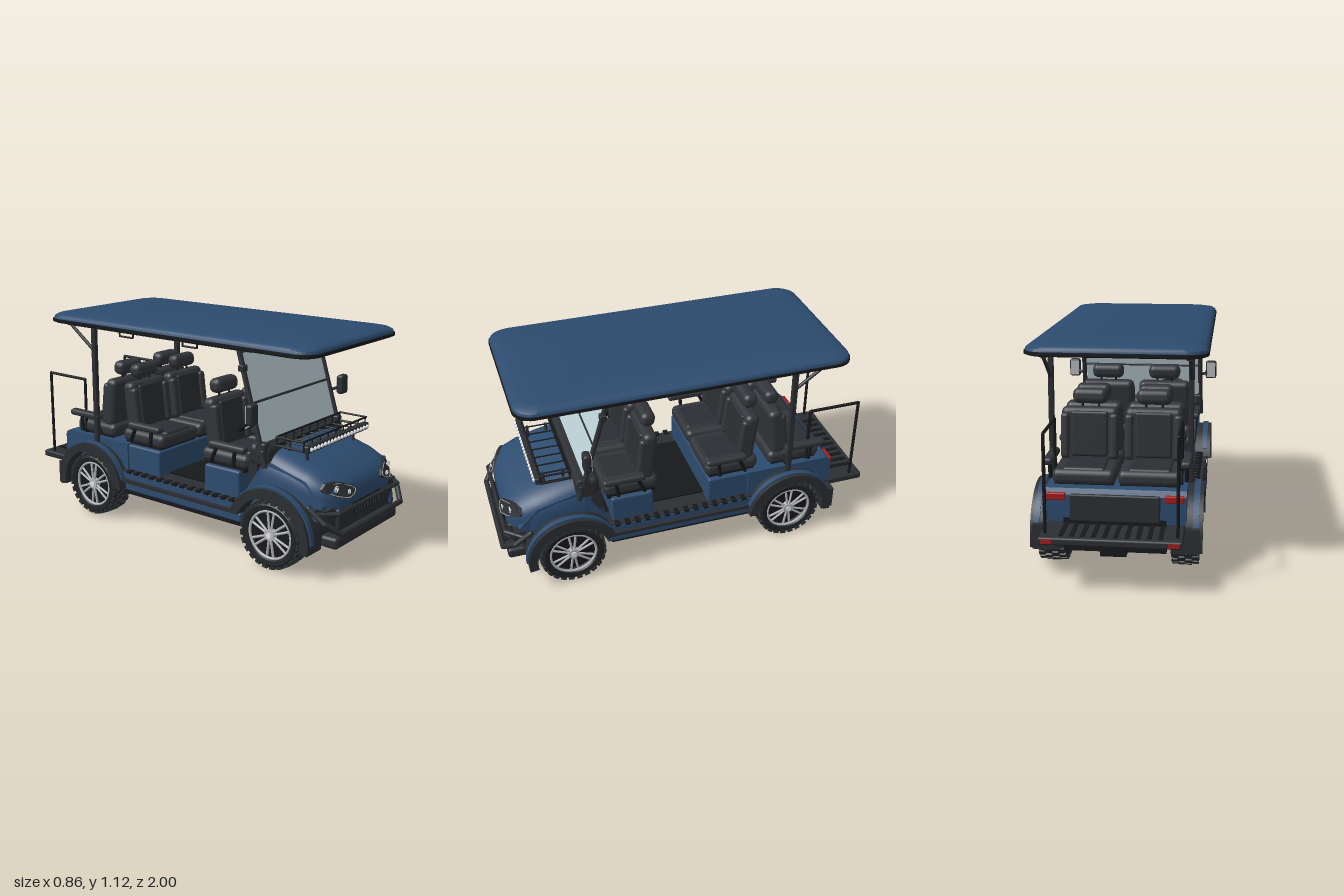
import * as THREE from 'three';
import { toCreasedNormals } from 'three/addons/utils/BufferGeometryUtils.js';
import { RoundedBoxGeometry } from 'three/addons/geometries/RoundedBoxGeometry.js';

const mat = (color, side = THREE.FrontSide) => new THREE.MeshStandardMaterial({ color, side });
const blue = mat(0x2c4b6e), dark = mat(0x2b2e32), black = mat(0x17181a), seatMat = mat(0x313439);
const silver = mat(0xb4b6b8), red = mat(0xa01c1c), glass = mat(0xc0d4da, THREE.DoubleSide), white = mat(0xe4e8ea);
const V = (x, y, z) => new THREE.Vector3(x, y, z);

function add(parent, name, geo, m, x = 0, y = 0, z = 0) {
  const mesh = new THREE.Mesh(geo, m);
  mesh.name = name;
  mesh.position.set(x, y, z);
  parent.add(mesh);
  return mesh;
}
// Box given by its ranges on each axis; r > 0 rounds it
function box(parent, name, m, [x0, x1], [y0, y1], [z0, z1], r = 0) {
  const s = [x1 - x0, y1 - y0, z1 - z0];
  const geo = r ? new RoundedBoxGeometry(...s, 3, r) : new THREE.BoxGeometry(...s);
  return add(parent, name, geo, m, (x0 + x1) / 2, (y0 + y1) / 2, (z0 + z1) / 2);
}
// Straight rod between two points
function rod(parent, name, m, a, b, r, sides = 10) {
  const d = b.clone().sub(a), mid = a.clone().add(b).multiplyScalar(0.5);
  const mesh = add(parent, name, new THREE.CylinderGeometry(r, r, d.length(), sides), m, mid.x, mid.y, mid.z);
  mesh.quaternion.setFromUnitVectors(V(0, 1, 0), d.normalize());
  return mesh;
}
// Chain of rods with round joints
function rail(parent, name, m, pts, r) {
  const g = new THREE.Group();
  g.name = name;
  parent.add(g);
  pts.forEach((p, i) => {
    add(g, name + 'Joint', new THREE.SphereGeometry(r, 10, 8), m, p.x, p.y, p.z);
    if (i) rod(g, name + 'Rod', m, pts[i - 1], p, r);
  });
}
// Side profile drawn in (z, y), extruded along x about the given centre
function sideProfile(parent, name, shape, width, m, x = 0) {
  const geo = new THREE.ExtrudeGeometry(shape, { depth: width, bevelEnabled: false, curveSegments: 28 });
  geo.translate(0, 0, -width / 2).rotateY(-Math.PI / 2);
  return add(parent, name, toCreasedNormals(geo, 0.6), m, x);
}
// Skin over closed rings of equal length, capped at both ends
function loft(rings) {
  const n = rings[0].length, pos = rings.flat(), idx = [];
  for (let j = 0; j < rings.length - 1; j++) for (let i = 0; i < n; i++) {
    const a = j * n + i, b = j * n + (i + 1) % n;
    idx.push(a, b, b + n, a, b + n, a + n);
  }
  for (const [j, flip] of [[0, true], [rings.length - 1, false]]) {
    const c = pos.length, ring = rings[j];
    pos.push(ring.reduce((s, p) => s.add(p), V(0, 0, 0)).divideScalar(n));
    for (let i = 0; i < n; i++) {
      const a = j * n + i, b = j * n + (i + 1) % n;
      idx.push(...(flip ? [b, a, c] : [a, b, c]));
    }
  }
  const geo = new THREE.BufferGeometry().setFromPoints(pos);
  geo.setIndex(idx);
  geo.computeVertexNormals();
  return toCreasedNormals(geo, 0.7);
}
const roundRing = (hx, hz, r, y, zc) => Array.from({ length: 32 }, (_, i) => {
  const k = Math.floor(i / 8), a = (k + (i % 8) / 7) * Math.PI / 2;
  const sx = k === 0 || k === 3 ? 1 : -1, sz = k < 2 ? -1 : 1;
  return V(sx * (hx - r) + r * Math.cos(a), y, zc + sz * (hz - r) - r * Math.sin(a));
});

// Wheel with its axle along x, outer face towards +x
function wheel() {
  const g = new THREE.Group();
  g.name = 'wheel';
  const prof = [[0.118, -0.055], [0.15, -0.063], [0.163, -0.055], [0.166, 0], [0.163, 0.055], [0.15, 0.063], [0.128, 0.06], [0.118, 0.045], [0.118, -0.055]];
  const tyre = new THREE.LatheGeometry(prof.map(p => new THREE.Vector2(...p)), 40);
  add(g, 'tyre', toCreasedNormals(tyre.rotateZ(-Math.PI / 2), 0.6), mat(0x202224, THREE.DoubleSide));
  for (let i = 0; i < 24; i++) for (let k = 0; k < 4; k++) {
    const a = (i + (k % 2) * 0.5) / 24 * Math.PI * 2, r = k % 3 ? 0.167 : 0.163;
    const lug = add(g, 'treadLug', new THREE.BoxGeometry(0.029, 0.014, 0.028), dark, (k - 1.5) * 0.033, r * Math.cos(a), r * Math.sin(a));
    lug.rotation.x = a;
  }
  const disc = (name, r, w, m, x) => add(g, name, new THREE.CylinderGeometry(r, r, w, 32).rotateZ(Math.PI / 2), m, x);
  disc('wheelBack', 0.12, 0.07, black, -0.005);
  disc('hub', 0.028, 0.03, silver, 0.045);
  disc('hubCap', 0.014, 0.01, white, 0.06);
  add(g, 'rim', new THREE.TorusGeometry(0.119, 0.007, 8, 40).rotateY(Math.PI / 2), silver, 0.05);
  for (let i = 0; i < 6; i++) for (const s of [-1, 1]) {
    const a = i / 6 * Math.PI * 2, b = a + s * 0.16, c = a + s * 0.25;
    rod(g, 'spoke', silver, V(0.05, 0.02 * Math.cos(c), 0.02 * Math.sin(c)), V(0.046, 0.118 * Math.cos(b), 0.118 * Math.sin(b)), 0.0065, 6);
  }
  return g;
}
// Seat facing +z with its backrest at z = 0; arm is the side of its armrest
function seat(arm) {
  const g = new THREE.Group();
  g.name = 'seat';
  box(g, 'seatBase', black, [-0.14, 0.14], [0.42, 0.45], [0, 0.25]);
  box(g, 'seatCushion', seatMat, [-0.15, 0.15], [0.435, 0.51], [-0.02, 0.27], 0.03);
  box(g, 'cushionPad', dark, [-0.1, 0.1], [0.48, 0.518], [0.05, 0.255], 0.015);
  const back = new THREE.Group();
  back.name = 'backrest';
  back.position.set(0, 0.49, 0.045);
  back.rotation.x = -0.12;
  g.add(back);
  box(back, 'backCushion', seatMat, [-0.14, 0.14], [0, 0.27], [-0.04, 0.035], 0.03);
  box(back, 'backPad', dark, [-0.09, 0.09], [0.03, 0.25], [0.01, 0.045], 0.012);
  for (const s of [-1, 1]) {
    box(back, 'bolster', seatMat, [s * 0.118 - 0.022, s * 0.118 + 0.022], [0.02, 0.24], [-0.02, 0.052], 0.018);
    rod(back, 'headrestStalk', black, V(s * 0.04, 0.25, 0), V(s * 0.04, 0.31, 0), 0.006);
  }
  box(back, 'headrest', seatMat, [-0.085, 0.085], [0.285, 0.36], [-0.035, 0.04], 0.03);
  const x = arm * 0.168;
  box(g, 'armrest', seatMat, [x - 0.024, x + 0.024], [0.53, 0.565], [0.06, 0.28], 0.015);
  rod(g, 'armrestPost', black, V(x, 0.45, 0.2), V(x, 0.54, 0.21), 0.01);
  rod(g, 'armrestBrace', black, V(x, 0.45, 0.06), V(x, 0.54, 0.1), 0.01);
  return g;
}

export function createModel() {
  const g = new THREE.Group();
  g.name = 'passengerCart';
  const FZ = 0.645, RZ = -0.545, AY = 0.175;

  // Chassis, floor and side steps
  box(g, 'underTray', black, [-0.24, 0.24], [0.14, 0.3], [-0.8, 0.88]);
  box(g, 'floorPan', black, [-0.33, 0.33], [0.155, 0.2], [-0.34, 0.43]);
  box(g, 'floor', dark, [-0.35, 0.35], [0.24, 0.292], [-0.34, 0.47]);
  for (const s of [-1, 1]) {
    const xr = (a, b) => s > 0 ? [a, b] : [-b, -a];
    box(g, 'rockerPanel', blue, xr(0.31, 0.36), [0.185, 0.235], [-0.36, 0.46], 0.012);
    box(g, 'sillPanel', blue, xr(0.32, 0.356), [0.247, 0.285], [-0.33, 0.44]);
    box(g, 'sideStep', dark, xr(0.3, 0.375), [0.232, 0.25], [-0.35, 0.45]);
    for (let i = 0; i < 14; i++) box(g, 'stepGrip', black, xr(0.325, 0.365), [0.285, 0.296], [-0.3 + i * 0.053, -0.275 + i * 0.053]);
    // Wheels, fenders and mud flaps
    for (const [z, a0, a1] of [[FZ, -0.17, 2.75], [RZ, 0.1, 3.3]]) {
      const w = wheel();
      w.position.set(s * 0.32, AY, z);
      w.rotation.y = s > 0 ? 0 : Math.PI;
      g.add(w);
      const arch = (r0, r1, b0, b1) => {
        const sh = new THREE.Shape();
        sh.absarc(z, AY, r1, b0, b1, false);
        sh.absarc(z, AY, r0, b1, b0, true);
        return sh;
      };
      sideProfile(g, 'fender', arch(0.188, 0.235, a0, a1), 0.12, dark, s * 0.345);
      sideProfile(g, 'fenderStrip', arch(0.225, 0.243, a0 + 0.2, a1 - 0.2), 0.028, blue, s * 0.373);
      rod(g, 'axle', black, V(0, AY, z), V(s * 0.3, AY, z), 0.025);
    }
    box(g, 'rearMudFlap', dark, xr(0.26, 0.39), [0.14, 0.26], [-0.8, -0.765]);
  }

  // Front cowl sides and rear body, both cut out around the wheels
  const poly = (pts, z) => {
    const sh = new THREE.Shape(pts.map(p => new THREE.Vector2(...p)));
    sh.absarc(z, AY, 0.2, 0.56, Math.PI - 0.56, false);
    return sh;
  };
  sideProfile(g, 'cowlSides', poly([[0.44, 0.281], [0.45, 0.33], [0.57, 0.52], [0.8, 0.46], [0.9, 0.36], [0.88, 0.281]].reverse(), FZ), 0.64, blue);
  sideProfile(g, 'rearBody', poly([[-0.32, 0.281], [-0.32, 0.435], [-0.77, 0.435], [-0.795, 0.41], [-0.795, 0.281]], RZ), 0.66, blue);
  const hood = [[0.56, 0.335, 0.34, 0.58], [0.62, 0.335, 0.34, 0.57], [0.7, 0.335, 0.34, 0.55], [0.8, 0.33, 0.335, 0.52], [0.87, 0.315, 0.33, 0.49], [0.92, 0.27, 0.33, 0.455], [0.945, 0.2, 0.335, 0.425], [0.952, 0.1, 0.35, 0.4]];
  add(g, 'hood', loft(hood.map(([z, w, b, t]) => Array.from({ length: 33 }, (_, i) => {
    const a = i / 32 * Math.PI, c = Math.cos(a);
    return V(w * Math.sign(c) * Math.abs(c) ** 0.45, b + (t - b) * Math.max(0, Math.sin(a)) ** 0.5, z);
  }))), blue);
  box(g, 'dashboard', dark, [-0.335, 0.335], [0.49, 0.595], [0.48, 0.6], 0.03);
  box(g, 'firewall', dark, [-0.31, 0.31], [0.28, 0.52], [0.47, 0.52]);

  // Headlights, bent to follow the nose
  const lamp = [[0.115, 0.412], [0.14, 0.432], [0.2, 0.455], [0.24, 0.461], [0.28, 0.458], [0.302, 0.435], [0.297, 0.42], [0.25, 0.395], [0.19, 0.38], [0.14, 0.392]];
  const noseZ = (x, y) => 0.957 - 8 * x ** 4 - (y - 0.42) * 0.5;
  for (const s of [-1, 1]) {
    const pts = lamp.map(([x, y]) => new THREE.Vector2(s * x, y));
    const geo = new THREE.ExtrudeGeometry(new THREE.Shape(pts), { depth: 0.05, bevelEnabled: false });
    const p = geo.attributes.position;
    for (let i = 0; i < p.count; i++) p.setZ(i, p.getZ(i) - 0.05 + noseZ(p.getX(i), p.getY(i)));
    geo.computeVertexNormals();
    add(g, 'headlight', geo, dark);
    const trim = lamp.map(([x, y]) => V(s * (0.21 + (x - 0.21) * 0.86), 0.42 + (y - 0.42) * 0.8, noseZ(x, y)));
    add(g, 'headlightTrim', new THREE.TubeGeometry(new THREE.CatmullRomCurve3(trim, true, 'catmullrom', 0.2), 50, 0.002, 5, true), silver);
    for (const [x, y, r] of [[0.243, 0.432, 0.014], [0.178, 0.411, 0.01]]) {
      add(g, 'lensRing', new THREE.TorusGeometry(r, 0.003, 6, 20), white, s * x, y, noseZ(x, y) + 0.003);
      add(g, 'lens', new THREE.SphereGeometry(r * 0.5, 12, 8), white, s * x, y, noseZ(x, y));
    }
  }

  // Front bumper, grille and bull bar
  const lower = new THREE.Shape([[-0.33, 0.345], [-0.25, 0.215], [0.25, 0.215], [0.33, 0.345]].map(p => new THREE.Vector2(...p)));
  add(g, 'lowerNose', new THREE.ExtrudeGeometry(lower, { depth: 0.06, bevelEnabled: false }), dark, 0, 0, 0.865);
  box(g, 'nosePanel', dark, [-0.24, 0.24], [0.23, 0.335], [0.9, 0.945], 0.015);
  box(g, 'grille', black, [-0.125, 0.125], [0.28, 0.342], [0.92, 0.955]);
  for (let i = 0; i < 9; i++) box(g, 'grilleBar', dark, [-0.113 + i * 0.027, -0.103 + i * 0.027], [0.285, 0.337], [0.95, 0.96]);
  box(g, 'bumperBeam', dark, [-0.29, 0.29], [0.15, 0.208], [0.87, 0.965], 0.018);
  rail(g, 'bullBar', dark, [V(-0.36, 0.355, 0.85), V(-0.345, 0.29, 0.93), V(-0.28, 0.236, 0.985), V(0.28, 0.236, 0.985), V(0.345, 0.29, 0.93), V(0.36, 0.355, 0.85)], 0.014);
  rail(g, 'upperBullBar', dark, [V(-0.355, 0.33, 0.88), V(-0.28, 0.33, 0.965), V(0.28, 0.33, 0.965), V(0.355, 0.33, 0.88)], 0.011);
  for (const s of [-1, 1]) {
    rod(g, 'bullBarStay', dark, V(s * 0.2, 0.18, 0.92), V(s * 0.2, 0.236, 0.985), 0.012);
    box(g, 'towPoint', dark, [s * 0.2 - 0.022, s * 0.2 + 0.022], [0.127, 0.16], [0.87, 0.92]);
  }

  // Light bar and rack over the hood
  box(g, 'lightBar', dark, [-0.28, 0.28], [0.582, 0.618], [0.755, 0.79], 0.008);
  for (let i = 0; i < 18; i++) add(g, 'lightBarLamp', new THREE.SphereGeometry(0.011, 10, 8), white, -0.255 + i * 0.03, 0.6, 0.79);
  for (const y of [0.595, 0.638]) rail(g, 'rackRail', black, [V(-0.29, y, 0.615), V(-0.29, y, 0.765), V(0.29, y, 0.765), V(0.29, y, 0.615), V(-0.29, y, 0.615)], 0.005);
  for (let i = 0; i < 9; i++) {
    const x = -0.28 + i * 0.07;
    rod(g, 'rackSlat', black, V(x, 0.595, 0.615), V(x, 0.595, 0.765), 0.004, 6);
    for (const z of [0.615, 0.765]) rod(g, 'rackPost', black, V(x, 0.595, z), V(x, 0.638, z), 0.004, 6);
  }
  for (const s of [-1, 1]) for (const z of [0.64, 0.74]) rod(g, 'rackSupport', dark, V(s * 0.21, 0.52, z), V(s * 0.21, 0.6, z), 0.008);

  // Windshield; its plane leans back from the cowl to the roof
  const wz = y => 0.588 - (y - 0.5) * 0.305;
  const pane = new THREE.PlaneGeometry(0.65, 0.455);
  add(g, 'windshield', pane, glass, 0, 0.81, wz(0.81)).rotation.x = -0.296;
  for (const [y, r] of [[0.59, 0.013], [0.79, 0.006], [1.035, 0.014]]) rod(g, 'windshieldBar', dark, V(-0.335, y, wz(y)), V(0.335, y, wz(y)), r);
  for (const s of [-1, 1]) {
    rod(g, 'frontPillar', dark, V(s * 0.343, 0.49, wz(0.49)), V(s * 0.333, 1.06, wz(1.06)), 0.013);
    for (const y of [0.56, 0.955]) box(g, 'pillarBracket', dark, [s * 0.336 - 0.018, s * 0.336 + 0.018], [y - 0.016, y + 0.016], [wz(y) - 0.017, wz(y) + 0.017], 0.006);
    box(g, 'pillarFoot', dark, [s * 0.325 - 0.022, s * 0.325 + 0.022], [0.5, 0.61], [0.53, 0.59], 0.01);
    rod(g, 'mirrorArm', dark, V(s * 0.335, 0.735, 0.515), V(s * 0.4, 0.745, 0.55), 0.008);
    box(g, 'mirror', dark, [s * 0.4 - 0.031, s * 0.4 + 0.031], [0.708, 0.81], [0.533, 0.572], 0.014);
    box(g, 'mirrorGlass', silver, [s * 0.4 - 0.024, s * 0.4 + 0.024], [0.717, 0.8], [0.53, 0.534]);
  }

  // Steering wheel
  const steer = new THREE.Group();
  steer.name = 'steeringWheel';
  steer.position.set(-0.18, 0.657, 0.42);
  steer.rotation.x = 0.97;
  g.add(steer);
  add(steer, 'steeringRim', new THREE.TorusGeometry(0.092, 0.009, 8, 32), black);
  add(steer, 'steeringHub', new THREE.SphereGeometry(0.024, 14, 10), dark);
  for (const a of [0, Math.PI, -Math.PI / 2]) rod(steer, 'steeringSpoke', silver, V(0, 0, 0), V(0.09 * Math.cos(a), 0.09 * Math.sin(a), 0), 0.007);
  rod(g, 'steeringColumn', dark, V(-0.18, 0.657, 0.42), V(-0.18, 0.42, 0.52), 0.015);

  // Seat boxes and three rows of seats, the last facing the rear
  box(g, 'frontSeatBox', blue, [-0.32, 0.32], [0.28, 0.43], [0.2, 0.42], 0.012);
  box(g, 'middleSeatBox', blue, [-0.32, 0.32], [0.28, 0.43], [-0.33, -0.1], 0.012);
  for (const s of [-1, 1]) for (const [z, turn] of [[0.185, 1], [-0.362, 1], [-0.462, -1]]) {
    const st = seat(s * turn);
    st.position.set(s * 0.155, 0, z);
    st.rotation.y = turn > 0 ? 0 : Math.PI;
    g.add(st);
  }

  // Roof: domed shell over a dark rim, with ribs and grab handles below
  const shell = [[0.006, 1.068], [0, 1.076], [0.003, 1.088], [0.018, 1.099], [0.05, 1.106], [0.12, 1.113], [0.25, 1.119], [0.32, 1.12]];
  add(g, 'roofShell', loft(shell.map(([d, y]) => roundRing(0.416 - d, 0.844 - d, 0.095 - d * 0.1, y, 0.025))), blue);
  add(g, 'roofRim', loft([[0.012, 1.054], [0, 1.06], [0, 1.074]].map(([d, y]) => roundRing(0.42 - d, 0.848 - d, 0.095, y, 0.025))), black);
  for (let i = 0; i < 9; i++) box(g, 'roofRib', dark, [-0.37, 0.37], [1.045, 1.056], [-0.71 + i * 0.18, -0.695 + i * 0.18]);
  for (const s of [-1, 1]) {
    box(g, 'roofRail', dark, [s * 0.33 - 0.012, s * 0.33 + 0.012], [1.035, 1.058], [-0.74, 0.5]);
    for (const z of [0.118, -0.31]) rail(g, 'grabHandle', black, [V(s * 0.33, 1.045, z - 0.048), V(s * 0.33, 1.014, z - 0.046), V(s * 0.33, 1.014, z + 0.046), V(s * 0.33, 1.045, z + 0.048)], 0.005);
    box(g, 'rearPillar', dark, [s * 0.335 - 0.013, s * 0.335 + 0.013], [0.4, 1.055], [-0.555, -0.527], 0.005);
    rod(g, 'pillarBrace', dark, V(s * 0.335, 0.915, -0.545), V(s * 0.335, 1.05, -0.73), 0.009);
    // Rear hand rails and lamps
    rail(g, 'rearHandRail', black, [V(s * 0.3, 0.26, -0.935), V(s * 0.3, 0.735, -0.935), V(s * 0.3, 0.735, -0.66), V(s * 0.3, 0.42, -0.66)], 0.008);
    box(g, 'tailLight', red, [s * 0.275 - 0.045, s * 0.275 + 0.045], [0.385, 0.42], [-0.806, -0.785], 0.006);
    box(g, 'platformLight', red, [s * 0.285 - 0.025, s * 0.285 + 0.025], [0.244, 0.264], [-1, -0.985]);
    box(g, 'platformBracket', black, [s * 0.2 - 0.02, s * 0.2 + 0.02], [0.195, 0.24], [-0.91, -0.77]);
  }
  rod(g, 'rearCrossBar', dark, V(-0.335, 1.04, -0.541), V(0.335, 1.04, -0.541), 0.012);

  // Rear panel and standing platform
  box(g, 'rearPanel', dark, [-0.21, 0.21], [0.285, 0.415], [-0.805, -0.78], 0.008);
  box(g, 'platform', dark, [-0.325, 0.325], [0.236, 0.272], [-0.997, -0.76], 0.01);
  for (let i = 0; i < 10; i++) box(g, 'platformSlat', black, [-0.235 + i * 0.05, -0.215 + i * 0.05], [0.265, 0.278], [-0.97, -0.8]);
  box(g, 'rearHitch', black, [-0.06, 0.06], [0.14, 0.2], [-0.86, -0.78]);
  return g;
}
